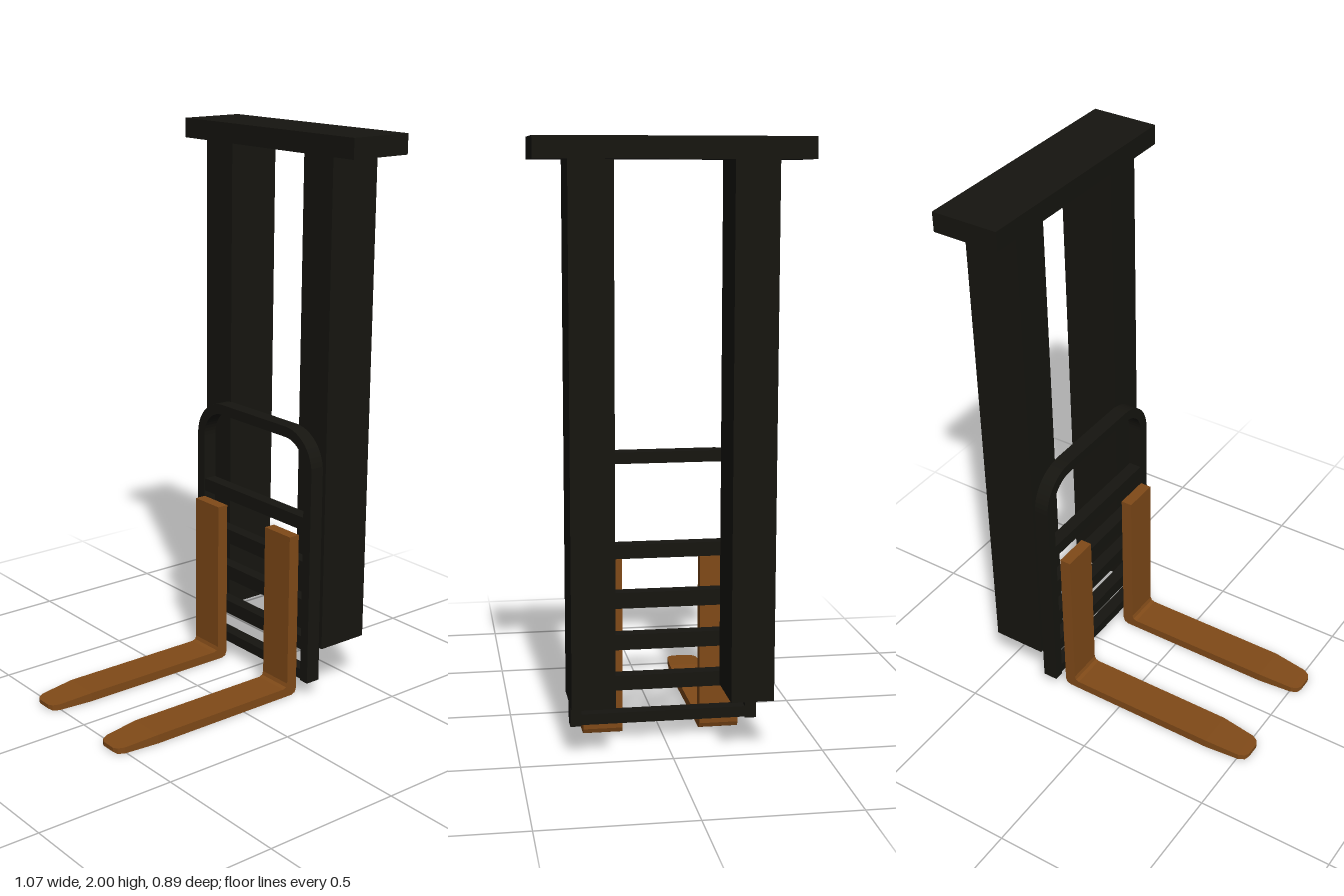
import * as THREE from 'three';

const dark = new THREE.MeshStandardMaterial({ color: 0x161510, flatShading: true });
const brown = new THREE.MeshStandardMaterial({ color: 0x804a18, flatShading: true });

// Box given by its extents on each axis
function box(name, x0, x1, y0, y1, z0, z1) {
  const mesh = new THREE.Mesh(new THREE.BoxGeometry(x1 - x0, y1 - y0, z1 - z0), dark);
  mesh.position.set((x0 + x1) / 2, (y0 + y1) / 2, (z0 + z1) / 2);
  mesh.name = name;
  return mesh;
}

// L-shaped fork: stations run from tip to heel to top of shank,
// each [inner x, inner y, outer x, outer y, half width]
function forkGeometry() {
  const w = 0.067;
  const stations = [
    [-0.535, 0.019, -0.535, 0.004, 0.026],
    [-0.527, 0.02, -0.527, 0, 0.043],
    [-0.505, 0.022, -0.505, 0, 0.055],
    [-0.375, 0.032, -0.375, 0, w],
    [0.183, 0.032, 0.222, 0, w],
    [0.196, 0.037, 0.237, 0.006, w],
    [0.201, 0.05, 0.243, 0.021, w],
    [0.201, 0.61, 0.243, 0.61, w],
  ];
  const rings = stations.map(([ix, iy, ox, oy, h]) => [
    [ix, iy, h], [ix, iy, -h], [ox, oy, -h], [ox, oy, h],
  ]);
  const pos = [];
  const quad = (a, b, c, d) => pos.push(...a, ...b, ...c, ...a, ...c, ...d);
  for (let i = 0; i < rings.length - 1; i++) {
    for (let k = 0; k < 4; k++) {
      const n = (k + 1) % 4;
      quad(rings[i][k], rings[i + 1][k], rings[i + 1][n], rings[i][n]);
    }
  }
  const end = rings[rings.length - 1];
  quad(...rings[0]);
  quad(end[3], end[2], end[1], end[0]);
  const geo = new THREE.BufferGeometry();
  geo.setAttribute('position', new THREE.Float32BufferAttribute(pos, 3));
  geo.computeVertexNormals();
  return geo;
}

// Backrest hoop: flat bar bent into an arch with open foot
function hoopGeometry() {
  const W = 0.318, top = 0.985, foot = 0.055, t = 0.038, r = 0.14;
  const s = new THREE.Shape();
  s.moveTo(W, foot);
  s.lineTo(W, top - r);
  s.absarc(W - r, top - r, r, 0, Math.PI / 2);
  s.absarc(r - W, top - r, r, Math.PI / 2, Math.PI);
  s.lineTo(-W, foot);
  s.lineTo(t - W, foot);
  s.lineTo(t - W, top - r);
  s.absarc(r - W, top - r, r - t, Math.PI, Math.PI / 2, true);
  s.absarc(W - r, top - r, r - t, Math.PI / 2, 0, true);
  s.lineTo(W - t, foot);
  s.closePath();
  const geo = new THREE.ExtrudeGeometry(s, { depth: 0.055, bevelEnabled: false, curveSegments: 6 });
  geo.rotateY(Math.PI / 2);
  return geo.translate(0.25, 0, 0);
}

export function createModel() {
  const model = new THREE.Group();
  model.name = 'forkliftMast';

  // Mast: crosshead slab on two columns
  const mast = new THREE.Group();
  mast.name = 'mast';
  mast.add(box('crosshead', 0.29, 0.533, 1.93, 2, -0.443, 0.443));
  mast.add(box('leftColumn', 0.303, 0.503, 0.18, 1.93, 0.19, 0.333));
  mast.add(box('rightColumn', 0.303, 0.503, 0.18, 1.93, -0.333, -0.19));
  model.add(mast);

  // Carriage: hoop with cross bars
  const carriage = new THREE.Group();
  carriage.name = 'carriage';
  const hoop = new THREE.Mesh(hoopGeometry(), dark);
  hoop.name = 'backrestHoop';
  carriage.add(hoop);
  const bars = [[0.058, 0.095], [0.173, 0.224], [0.313, 0.366], [0.456, 0.51], [0.626, 0.674]];
  for (const [y0, y1] of bars) carriage.add(box('crossBar', 0.254, 0.301, y0, y1, -0.29, 0.29));
  model.add(carriage);

  // Pair of forks
  const geo = forkGeometry();
  for (const z of [-0.2, 0.2]) {
    const fork = new THREE.Mesh(geo, brown);
    fork.position.z = z;
    fork.name = 'fork';
    model.add(fork);
  }
  return model;
}
